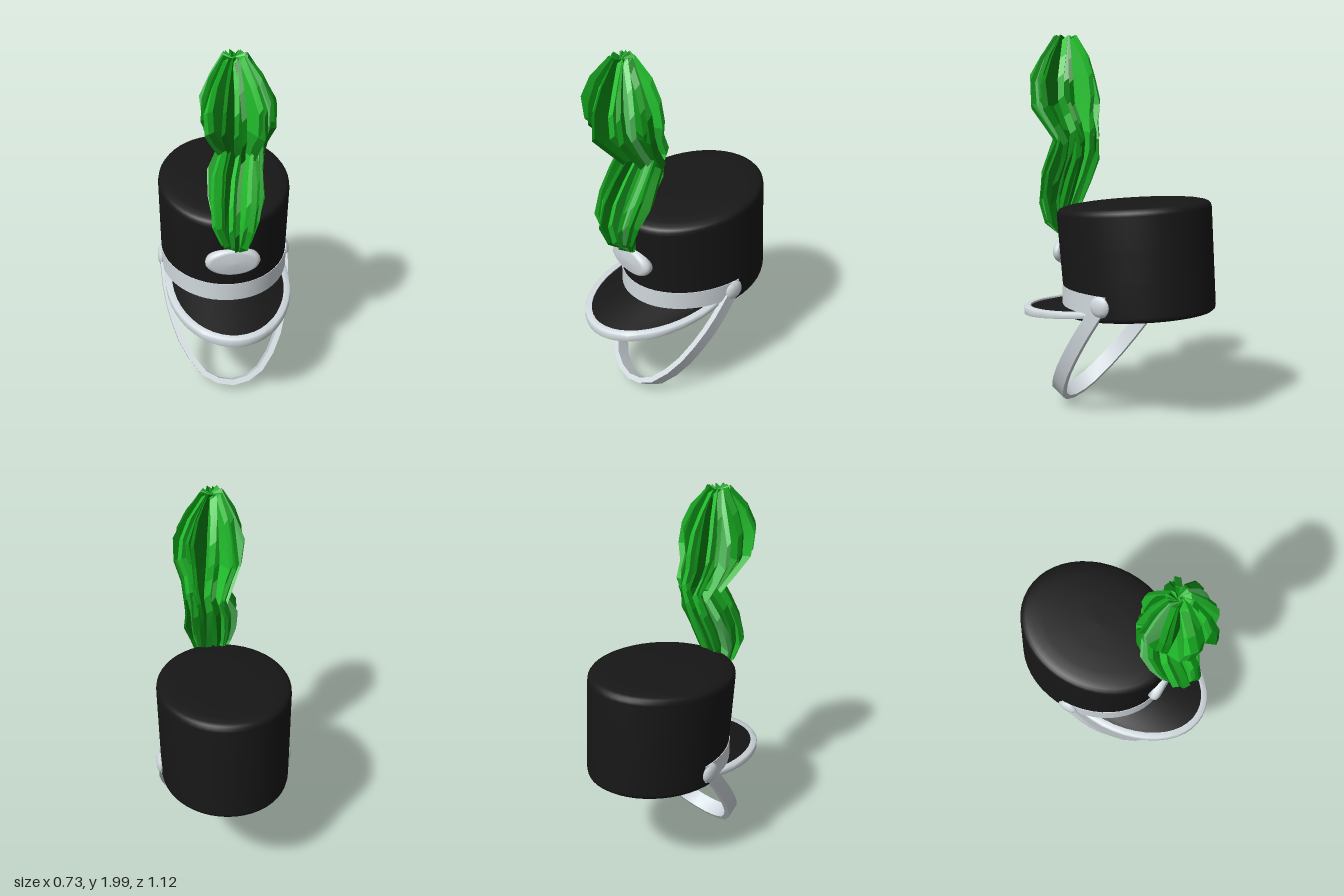
import * as THREE from 'three';
import { toCreasedNormals } from 'three/addons/utils/BufferGeometryUtils.js';

const V = (x, y, z) => new THREE.Vector3(x, y, z);
const lerp = THREE.MathUtils.lerp;

const material = (name, color) => {
  const m = new THREE.MeshStandardMaterial({ color });
  m.name = name;
  return m;
};

const lathe = (profile, sides) => new THREE.LatheGeometry(profile.map(p => new THREE.Vector2(...p)), sides);

// Solid skinned over a row of equal rings, capped at both ends
function loft(rings, crease = 0.6) {
  const n = rings[0].length, pts = rings.flat(), tris = [];
  for (let i = 0; i < rings.length - 1; i++) {
    for (let j = 0; j < n; j++) {
      const a = i * n + j, b = i * n + (j + 1) % n;
      tris.push([a, b, a + n], [b, b + n, a + n]);
    }
  }
  const end = (rings.length - 1) * n;
  for (let j = 1; j < n - 1; j++) tris.push([0, j + 1, j], [end, end + j, end + j + 1]);
  // Turn the faces outward by the sign of the enclosed volume
  let volume = 0;
  for (const [a, b, c] of tris) volume += pts[a].dot(V(0, 0, 0).crossVectors(pts[b], pts[c]));
  if (volume < 0) tris.forEach(t => t.reverse());
  const g = new THREE.BufferGeometry().setFromPoints(pts);
  g.setIndex(tris.flat());
  return toCreasedNormals(g, crease);
}

// Body: tapered oval drum with sloping base and slightly domed crown
const BODY = { rx: [0.34, 0.35], rz: [0.415, 0.425], cz: [-0.145, -0.1] };
const at = (k, t) => lerp(BODY[k][0], BODY[k][1], t);
const baseY = z => 0.538 - 0.09 * z;
const crownY = z => 1.107 - 0.088 * z;

function bodyGeometry() {
  const g = lathe([[0, 0], [0.9, 0], [0.96, 0.004], [0.99, 0.02], [1, 0.05], [1, 0.35], [1, 0.65],
    [1, 0.95], [0.992, 0.98], [0.97, 1], [0.93, 1.014], [0.85, 1.028], [0.7, 1.04], [0.4, 1.05], [0, 1.053]], 48);
  const p = g.attributes.position;
  for (let i = 0; i < p.count; i++) {
    const t = p.getY(i);
    const x = p.getX(i) * at('rx', t), z = at('cz', t) + p.getZ(i) * at('rz', t);
    p.setXYZ(i, x, lerp(baseY(z), crownY(z), t), z);
  }
  g.computeVertexNormals();
  return g;
}

// Band round the front half
function bandGeometry() {
  const rings = [];
  for (let i = 0; i <= 32; i++) {
    const a = lerp(-0.03, Math.PI + 0.03, i / 32);
    const p = (grow, y) => V((0.337 + grow) * Math.cos(a), y, -0.137 + (0.417 + grow) * Math.sin(a));
    rings.push([p(-0.01, 0.588), p(0.01, 0.588), p(0.01, 0.69), p(-0.01, 0.69)]);
  }
  return loft(rings);
}

// Visor outline, shrunk by an inset
const rimY = z => 0.508 + (0.558 - z) * 0.12;
const visorPoint = (a, inset, dy = 0) => {
  const z = 0.08 + (0.479 - inset) * Math.sin(a);
  return V((0.337 - inset) * Math.cos(a), rimY(z) + dy, z);
};

function rimGeometry() {
  const rings = [];
  for (let i = 0; i <= 26; i++) {
    const a = lerp(-0.25, Math.PI + 0.25, i / 26);
    const h = 0.016 + 0.007 * Math.max(0, Math.sin(a));
    rings.push([visorPoint(a, 0.036, -h), visorPoint(a, 0.003, -h), visorPoint(a, 0, 3 - 3 - h * 0.6),
      visorPoint(a, 0, h * 0.7), visorPoint(a, 0.005, h), visorPoint(a, 0.036, h)]);
  }
  return loft(rings, 0.9);
}

function visorGeometry() {
  const rings = [];
  for (let i = 0; i <= 26; i++) {
    const a = lerp(0, Math.PI, i / 26);
    const outer = visorPoint(a, 0.025, 0.012);
    const inner = V(0.3 * Math.cos(a), 0.57 + 0.03 * Math.sin(a), -0.1 + 0.353 * Math.sin(a));
    const down = V(0, -0.016, 0);
    rings.push([outer.clone().add(down), outer, inner, inner.clone().add(down)]);
  }
  return loft(rings);
}

// Chin strap: flat ribbon hanging in a forward-leaning plane
function strapGeometry() {
  const half = [[0.338, 0.635], [0.335, 0.51], [0.31, 0.37], [0.25, 0.215], [0.14, 0.085]];
  const path = [...half, [0, 0.044], ...half.map(([x, y]) => [-x, y]).reverse()]
    .map(([x, y]) => V(x, y, -0.115 + (0.635 - y) * 0.715));
  const curve = new THREE.CatmullRomCurve3(path);
  const across = V(0, 0.58, 0.814);
  const rings = [];
  for (let i = 0; i <= 18; i++) {
    const c = curve.getPoint(i / 18);
    const n = V(0, 0, 0).crossVectors(curve.getTangent(i / 18), across).normalize();
    const w = lerp(0.044, 0.036, c.y / 0.635);
    rings.push([[1, 1], [1, -1], [-1, -1], [-1, 1]].map(([u, v]) =>
      c.clone().addScaledVector(n, u * 0.015).addScaledVector(across, v * w)));
  }
  return loft(rings);
}

// Plume levels: height, core x, core z, radius
const PLUME = [[0.92, 0.03, 0.32, 0.01], [1.0, 0.01, 0.37, 0.08], [1.12, 0.005, 0.365, 0.128],
  [1.24, 0.01, 0.325, 0.145], [1.36, 0.02, 0.27, 0.145], [1.46, 0.04, 0.235, 0.125], [1.55, 0.025, 0.285, 0.16],
  [1.64, 0.015, 0.33, 0.195], [1.76, 0.01, 0.34, 0.195], [1.87, 0.005, 0.335, 0.145], [1.98, 0, 0.325, 0.06]];

// One feather: an upright blade from the core outward, following the plume
function featherGeometry(angle, rand) {
  const reach = 0.84 + 0.17 * rand(), lift = (rand() - 0.5) * 0.08, half = 0.009 + 0.008 * rand();
  const twist = (rand() - 0.5) * 0.9;
  const last = PLUME.length - 1;
  const rings = PLUME.map(([y, cx, cz, r], i) => {
    const a = angle + twist * (i / last - 0.5);
    const out = V(Math.sin(a), 0, Math.cos(a)), side = V(out.z, 0, -out.x);
    const core = V(cx, y + lift * Math.sin(i / last * Math.PI), cz);
    const far = r * reach * (0.9 + 0.15 * rand());
    const p = (d, s, dy) => core.clone().addScaledVector(out, d).addScaledVector(side, s * half).add(V(0, dy, 0));
    return [p(0.004, 1, 0), p(far, 1, 0.02), p(far, -1, -0.005), p(0.004, -1, 0)];
  });
  return loft(rings, 0.2);
}

export function createModel() {
  const black = material('black felt', 0x171717);
  const silver = material('silver trim', 0xd0d8dd);
  const greens = [material('dark green', 0x0a8512), material('mid green', 0x149c1c),
    material('bright green', 0x22c02d), material('light green', 0x5ccc66)];

  const hat = new THREE.Group();
  hat.name = 'plumedHat';
  const add = (name, geometry, mat, parent = hat) => {
    const m = new THREE.Mesh(geometry, mat);
    m.name = name;
    parent.add(m);
    return m;
  };

  add('body', bodyGeometry(), black);
  add('visor', visorGeometry(), black);
  add('visorRim', rimGeometry(), silver);
  add('band', bandGeometry(), silver);
  add('chinStrap', strapGeometry(), silver);

  // Strap buttons on both sides
  for (const s of [1, -1]) {
    const g = lathe([[0, -0.015], [0.05, -0.015], [0.056, -0.002], [0.048, 0.008], [0.03, 0.016], [0, 0.018]], 18);
    const b = add(s > 0 ? 'leftButton' : 'rightButton', toCreasedNormals(g, 0.7), silver);
    b.rotation.z = -s * Math.PI / 2;
    b.position.set(s * 0.348, 0.635, -0.115);
  }

  // Oval front badge with rounded edge
  const badge = add('badge', lathe([[0, -0.03], [0.95, -0.03], [1, -0.01], [1, 0.005], [0.94, 0.02],
    [0.8, 0.029], [0, 0.033]], 36), silver);
  badge.scale.set(0.143, 1, 0.08);
  badge.rotation.x = Math.PI / 2 + 0.07;
  badge.position.set(0, 0.845, 0.301);

  // Plume of feathers fanned round a curving core
  let seed = 7;
  const rand = () => (seed = (seed * 16807) % 2147483647) / 2147483647;
  const plume = new THREE.Group();
  plume.name = 'plume';
  hat.add(plume);
  const count = 20;
  const shades = [0, 2, 1, 3, 1, 0, 2, 1, 0, 2];
  for (let i = 0; i < count; i++) {
    const angle = (i + 0.7 * rand()) / count * Math.PI * 2;
    add('feather', featherGeometry(angle, rand), greens[shades[i % shades.length]], plume);
  }
  return hat;
}
